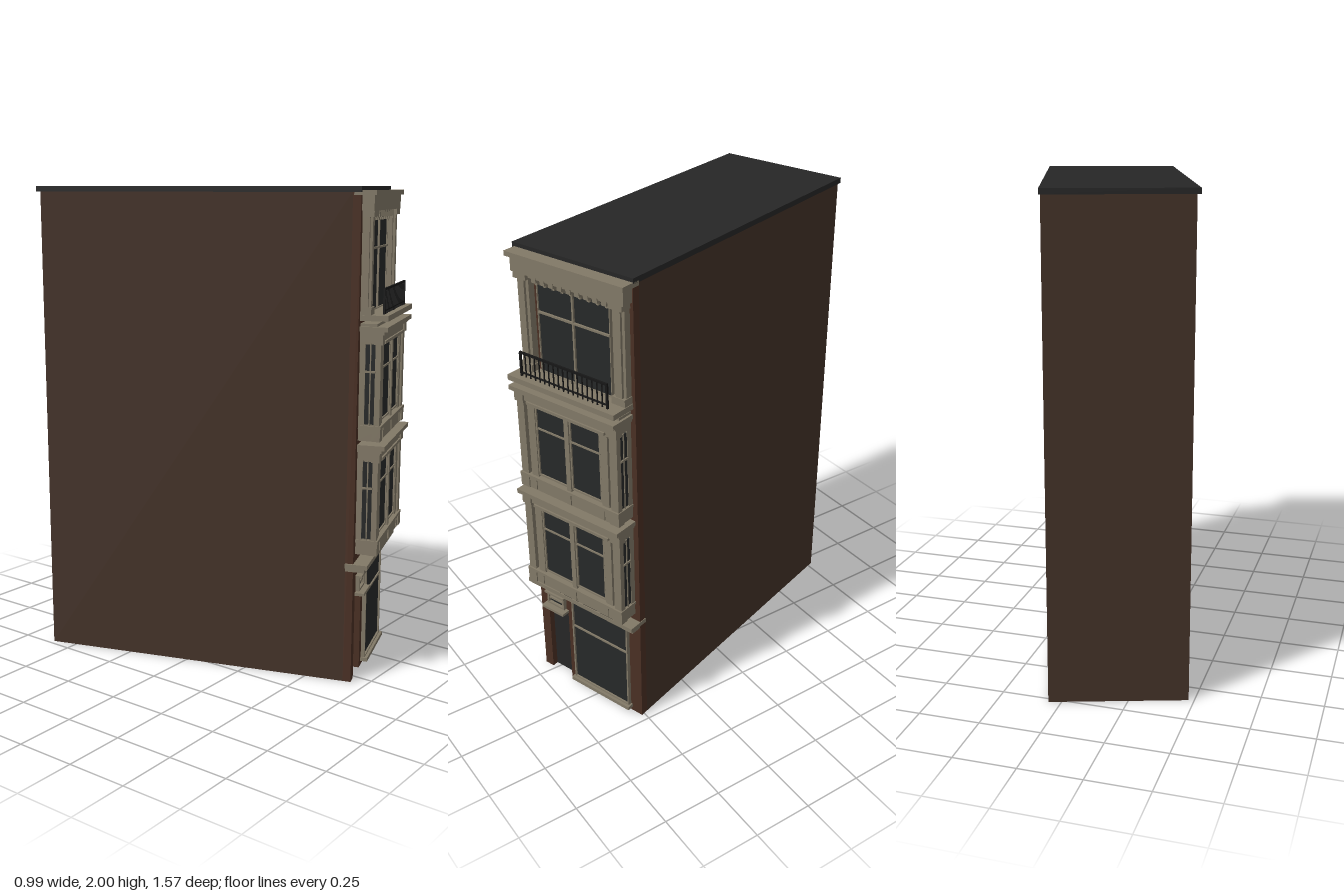
import * as THREE from 'three';

const mat = (name, color) => {
  const m = new THREE.MeshStandardMaterial({ color });
  m.name = name;
  return m;
};

export function createModel() {
  const wallBrick = mat('brown wall', 0x443228);
  const frontBrick = mat('red brick', 0x4a3024);
  const trim = mat('stone trim', 0x827967);
  const glass = mat('dark glass', 0x262828);
  const slate = mat('roof felt', 0x262626);
  const iron = mat('black iron', 0x161616);

  const model = new THREE.Group();
  model.name = 'townhouse';
  const house = new THREE.Group();
  house.name = 'house';
  house.rotation.y = THREE.MathUtils.degToRad(18);
  model.add(house);

  // box given by its limits on each axis
  const box = (g, name, m, x0, x1, y0, y1, z0, z1) => {
    const mesh = new THREE.Mesh(new THREE.BoxGeometry(x1 - x0, y1 - y0, z1 - z0), m);
    mesh.position.set((x0 + x1) / 2, (y0 + y1) / 2, (z0 + z1) / 2);
    mesh.name = name;
    g.add(mesh);
    return mesh;
  };
  // the same box on both sides of a group's centre line
  const pair = (g, name, m, x0, x1, ...rest) => {
    box(g, name, m, x0, x1, ...rest);
    box(g, name, m, -x1, -x0, ...rest);
  };
  const section = (name, x = 0, y = 0) => {
    const g = new THREE.Group();
    g.name = name;
    g.position.set(x, y, 0);
    house.add(g);
    return g;
  };
  // hollow frame around an opening
  const frame = (g, name, m, x0, x1, y0, y1, z0, z1, t) => {
    box(g, name, m, x0 - t, x0, y0 - t, y1 + t, z0, z1);
    box(g, name, m, x1, x1 + t, y0 - t, y1 + t, z0, z1);
    box(g, name, m, x0, x1, y0 - t, y0, z0, z1);
    box(g, name, m, x0, x1, y1, y1 + t, z0, z1);
  };

  // main block, roof, and front wall with a door recess
  box(house, 'mainWalls', wallBrick, -0.268, 0.287, 0, 1.98, -0.722, 0.6);
  box(house, 'roof', slate, -0.281, 0.292, 1.978, 2, -0.735, 0.636);
  const f = new THREE.Shape();
  [[-0.268, 0], [-0.225, 0], [-0.225, 0.36], [-0.112, 0.36], [-0.112, 0], [0.287, 0], [0.287, 1.98], [-0.268, 1.98]]
    .forEach(([x, y], i) => (i ? f.lineTo(x, y) : f.moveTo(x, y)));
  const front = new THREE.Mesh(
    new THREE.ExtrudeGeometry(f, { depth: 0.033, bevelEnabled: false }), frontBrick);
  front.position.z = 0.6;
  front.name = 'frontWall';
  house.add(front);

  // entrance: door, small hood and light above it
  const entry = section('entrance', -0.168);
  box(entry, 'door', slate, -0.056, 0.056, 0.002, 0.36, 0.6, 0.608);
  box(entry, 'doorHood', trim, -0.06, 0.06, 0.36, 0.372, 0.632, 0.672);
  box(entry, 'fanlight', glass, -0.042, 0.042, 0.38, 0.428, 0.632, 0.638);
  frame(entry, 'fanlightFrame', trim, -0.038, 0.038, 0.385, 0.425, 0.632, 0.65, 0.009);
  box(entry, 'fanlightBar', trim, -0.038, 0.038, 0.402, 0.41, 0.632, 0.646);
  box(entry, 'fanlightCap', trim, -0.053, 0.053, 0.434, 0.443, 0.632, 0.66);

  // shop window
  const shop = section('shopWindow', 0.076);
  box(shop, 'shopGlass', glass, -0.15, 0.15, 0.035, 0.45, 0.633, 0.642);
  frame(shop, 'shopFrame', trim, -0.145, 0.145, 0.04, 0.444, 0.633, 0.65, 0.007);
  box(shop, 'shopTransom', trim, -0.145, 0.145, 0.315, 0.323, 0.633, 0.648);
  box(shop, 'shopSill', trim, -0.16, 0.16, 0.018, 0.034, 0.633, 0.662);

  // cornice over the shop with the awning box on it
  box(house, 'shopCornice', trim, -0.276, 0.29, 0.488, 0.507, 0.6, 0.692);
  box(house, 'shopCorniceLower', trim, -0.27, 0.285, 0.474, 0.488, 0.6, 0.678);
  box(house, 'awningBox', iron, -0.1, 0.2, 0.507, 0.53, 0.632, 0.688);

  // two projecting bays, heights measured from the bay's underside
  [0.54, 1.01].forEach((y) => {
    const bay = section('bayWindow', 0.014, y);
    const top = 0.455;
    box(bay, 'bayCore', trim, -0.243, 0.243, 0, top - 0.02, 0.62, 0.7);
    box(bay, 'baySill', trim, -0.249, 0.249, 0, 0.05, 0.625, 0.717);
    box(bay, 'baySillCap', trim, -0.254, 0.254, 0.05, 0.062, 0.625, 0.724);
    box(bay, 'bayBand', trim, -0.25, 0.25, 0.393, 0.43, 0.625, 0.717);
    box(bay, 'bayCorniceLower', trim, -0.256, 0.256, 0.425, 0.437, 0.625, 0.73);
    box(bay, 'bayCornice', trim, -0.261, 0.261, 0.437, top, 0.62, 0.744);
    pair(bay, 'cornerPost', trim, 0.214, 0.25, 0.06, 0.4, 0.695, 0.717);
    pair(bay, 'wallPost', trim, 0.235, 0.25, 0.06, 0.4, 0.625, 0.656);
    pair(bay, 'postCapital', trim, 0.21, 0.255, 0.385, 0.427, 0.69, 0.724);
    pair(bay, 'postBase', trim, 0.21, 0.254, 0, 0.05, 0.69, 0.722);
    pair(bay, 'panelStud', trim, 0.17, 0.182, 0.004, 0.05, 0.7, 0.721);
    box(bay, 'centreStud', trim, -0.011, 0.011, 0.004, 0.05, 0.7, 0.722);
    [-1, 1].forEach((s) => {
      const c = s * 0.087;
      box(bay, 'sashGlass', glass, c - 0.076, c + 0.076, 0.068, 0.382, 0.7, 0.704);
      frame(bay, 'sashFrame', trim, c - 0.07, c + 0.07, 0.078, 0.374, 0.7, 0.71, 0.006);
      box(bay, 'sashTransom', trim, c - 0.07, c + 0.07, 0.281, 0.288, 0.7, 0.709);
    });
    pair(bay, 'windowJamb', trim, 0.165, 0.2, 0.06, 0.395, 0.7, 0.712);
    box(bay, 'windowMullion', trim, -0.011, 0.011, 0.06, 0.395, 0.7, 0.716);
    box(bay, 'windowHead', trim, -0.195, 0.195, 0.383, 0.395, 0.7, 0.724);
    // narrow panes on the bay's sides
    pair(bay, 'sideGlass', glass, 0.243, 0.248, 0.068, 0.385, 0.656, 0.697);
    pair(bay, 'sideTransom', trim, 0.243, 0.254, 0.274, 0.282, 0.656, 0.697);
    pair(bay, 'sideBar', trim, 0.243, 0.251, 0.062, 0.39, 0.674, 0.679);
  });

  // balcony slab and railing
  const balcony = section('balcony', 0.015);
  box(balcony, 'balconySlab', trim, -0.262, 0.262, 1.488, 1.51, 0.62, 0.744);
  box(balcony, 'balconyCourse', trim, -0.25, 0.25, 1.465, 1.476, 0.62, 0.7);
  box(balcony, 'topRail', iron, -0.215, 0.215, 1.604, 1.612, 0.713, 0.721);
  box(balcony, 'bottomRail', iron, -0.215, 0.215, 1.522, 1.527, 0.714, 0.72);
  for (let i = 0; i <= 18; i++) {
    const x = -0.212 + (i * 0.424) / 18;
    const r = i % 18 ? 0.002 : 0.004;
    box(balcony, 'baluster', iron, x - r, x + r, 1.51, 1.606, 0.717 - r, 0.717 + r);
  }

  // top storey window, pilasters and crowning cornice
  const attic = section('topStorey', 0.015);
  box(attic, 'topGlass', glass, -0.175, 0.175, 1.51, 1.885, 0.633, 0.642);
  frame(attic, 'topFrame', trim, -0.172, 0.172, 1.516, 1.88, 0.633, 0.648, 0.004);
  box(attic, 'topMullion', trim, -0.004, 0.004, 1.512, 1.88, 0.633, 0.65);
  box(attic, 'topTransom', trim, -0.172, 0.172, 1.755, 1.763, 0.633, 0.65);
  pair(attic, 'pilaster', trim, 0.2, 0.256, 1.51, 1.92, 0.62, 0.662);
  pair(attic, 'pilasterStrip', trim, 0.214, 0.244, 1.54, 1.885, 0.66, 0.672);
  pair(attic, 'pilasterBase', trim, 0.197, 0.259, 1.51, 1.54, 0.62, 0.676);
  pair(attic, 'pilasterCapital', trim, 0.197, 0.259, 1.885, 1.915, 0.62, 0.68);
  box(attic, 'windowLintel', trim, -0.2, 0.2, 1.893, 1.915, 0.62, 0.665);
  for (let i = 0; i < 9; i++) {
    const x = -0.168 + i * 0.042;
    box(attic, 'bracket', trim, x - 0.011, x + 0.011, 1.88, 1.91, 0.633, 0.668);
    box(attic, 'bracketDrop', trim, x - 0.006, x + 0.006, 1.868, 1.88, 0.633, 0.655);
  }
  box(attic, 'frieze', trim, -0.268, 0.268, 1.908, 1.968, 0.605, 0.681);
  box(attic, 'crownCornice', trim, -0.285, 0.277, 1.966, 1.985, 0.605, 0.692);

  return model;
}
